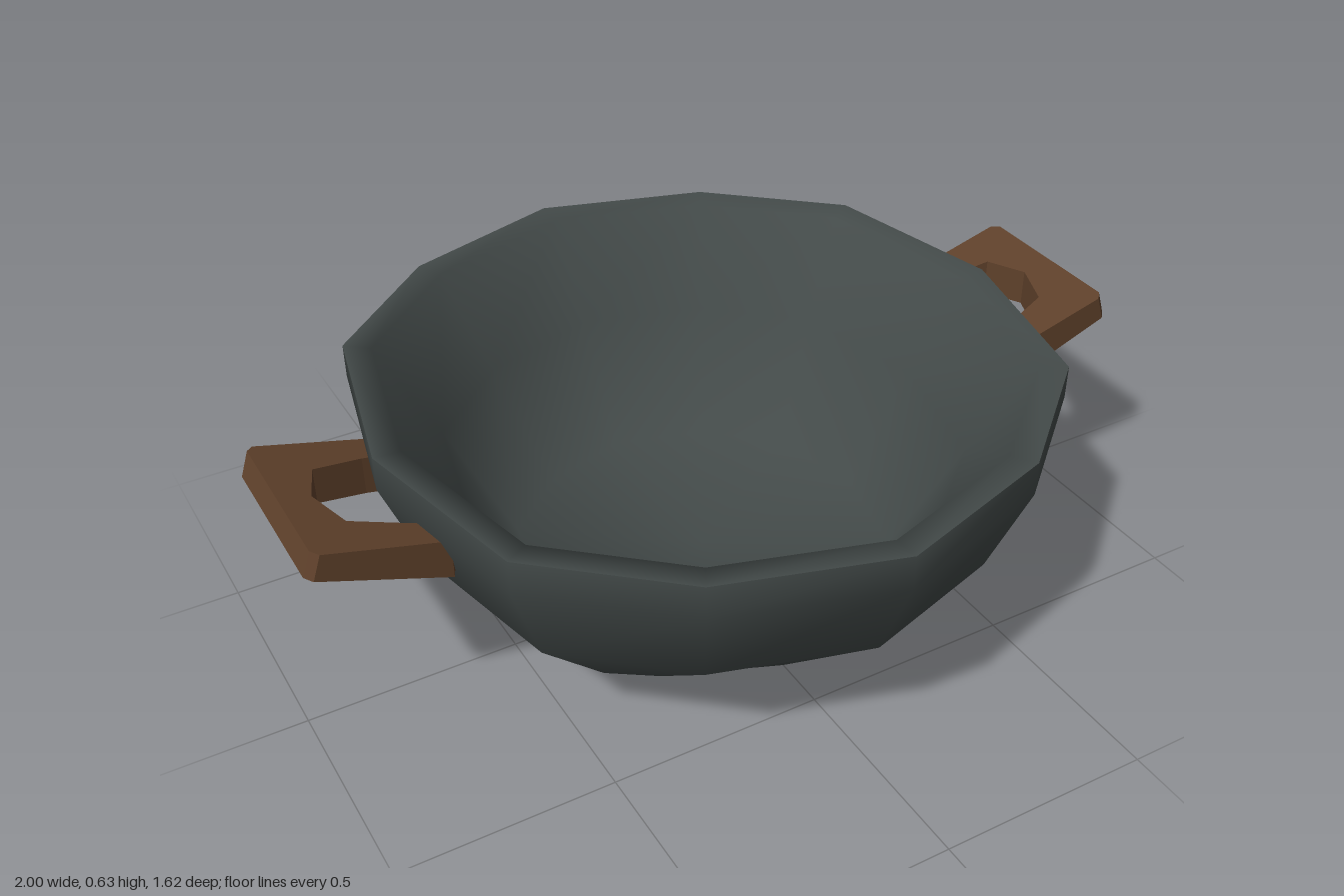
import * as THREE from 'three';
import { mergeVertices } from 'three/addons/utils/BufferGeometryUtils.js';

const iron = new THREE.MeshStandardMaterial({ color: 0x434a49 });
iron.name = 'dark iron';
const wood = new THREE.MeshStandardMaterial({ color: 0x5f412b });
wood.name = 'brown wood';

const SIDES = 12;
// Rim corners [x, z] of one quarter, from the front (+z) round to the side (+x)
const RIM = [[0, 0.81], [0.39, 0.69], [0.676, 0.44], [0.775, 0]];

// Twelve-sided ring following the rim outline, mirrored from one quarter
const rimRing = (scale, y) => Array.from({ length: SIDES }, (_, j) => {
  const k = j % 6;
  const [x, z] = RIM[k <= 3 ? k : 6 - k];
  const signX = j <= 6 ? 1 : -1, signZ = j <= 3 || j >= 9 ? 1 : -1;
  return new THREE.Vector3(x * signX * scale, y, z * signZ * scale);
});
// Eight-sided ring: the two middle points of each quarter meet at 45 degrees
const footRing = (r, y) => Array.from({ length: SIDES }, (_, j) => {
  const a = THREE.MathUtils.degToRad(Math.floor(j / 3) * 90 + [0, 45, 45][j % 3]);
  return new THREE.Vector3(r * Math.sin(a), y, r * Math.cos(a));
});

// Skin a list of rings, with smooth normals
function skin(rings) {
  const positions = rings.flat().flatMap((p) => p.toArray());
  const index = [];
  for (let i = 0; i < rings.length - 1; i++) {
    for (let j = 0; j < SIDES; j++) {
      const a = i * SIDES + j, b = i * SIDES + (j + 1) % SIDES;
      index.push(a, b, b + SIDES, a, b + SIDES, a + SIDES);
    }
  }
  let geometry = new THREE.BufferGeometry();
  geometry.setAttribute('position', new THREE.Float32BufferAttribute(positions, 3));
  geometry.setIndex(index);
  geometry = mergeVertices(geometry, 1e-4);
  geometry.computeVertexNormals();
  return geometry;
}

function makeBowl() {
  const bowl = new THREE.Group();
  bowl.name = 'bowl';
  const add = (name, rings) => {
    const mesh = new THREE.Mesh(skin(rings), iron);
    mesh.name = name;
    bowl.add(mesh);
  };

  // Outer wall, straight from foot to waist at front and back, fuller at the sides
  const foot = footRing(0.37, 0);
  const waist = rimRing(0.887, 0.327);
  const belly = foot.map((p, j) => p.clone().lerp(waist[j], 0.385));
  belly.forEach((p) => { if (Math.abs(p.x) > 0.35) p.x *= 1.085; });
  add('outerWall', [footRing(0, 0), foot, belly, waist, rimRing(1, 0.55), rimRing(1, 0.63)]);

  // Lip running smoothly into the funnel-shaped hollow
  add('innerWall', [rimRing(1, 0.63), rimRing(0.92, 0.625), rimRing(0.745, 0.4),
    rimRing(0.55, 0.12), rimRing(0, 0.1)]);
  return bowl;
}

// U-shaped grip, tilted upward away from the bowl
function makeHandle(name, turn) {
  const half = [[0.67, 0.14], [0.76, 0.128], [0.875, 0.1], [0.91, 0]];
  const outline = [
    [0.7, 0.207], [0.985, 0.207], [1, 0.19], [1, -0.19], [0.985, -0.207], [0.7, -0.207],
    ...half.map(([x, z]) => [x, -z]),
    ...half.slice(0, 3).reverse(),
  ];
  const shape = new THREE.Shape(outline.map(([x, z]) => new THREE.Vector2(x, z)));
  const geometry = new THREE.ExtrudeGeometry(shape, { depth: 1, bevelEnabled: false });
  geometry.rotateX(-Math.PI / 2);
  const p = geometry.attributes.position;
  for (let i = 0; i < p.count; i++) {
    const x = p.getX(i), top = p.getY(i) > 0.5, outer = x > 0.95;
    // The outer end leans back and its lower edge is lifted
    if (top && outer) p.setX(i, x - 0.02);
    p.setY(i, top ? 0.528 + 0.27 * (p.getX(i) - 0.7) : 0.435 + 0.3 * (x - 0.7) + (outer ? 0.02 : 0));
  }
  geometry.computeVertexNormals();
  const handle = new THREE.Mesh(geometry, wood);
  handle.name = name;
  handle.rotation.y = turn;
  return handle;
}

export function createModel() {
  const model = new THREE.Group();
  model.name = 'cookingPot';
  model.add(makeBowl(), makeHandle('leftHandle', 0), makeHandle('rightHandle', Math.PI));
  return model;
}
